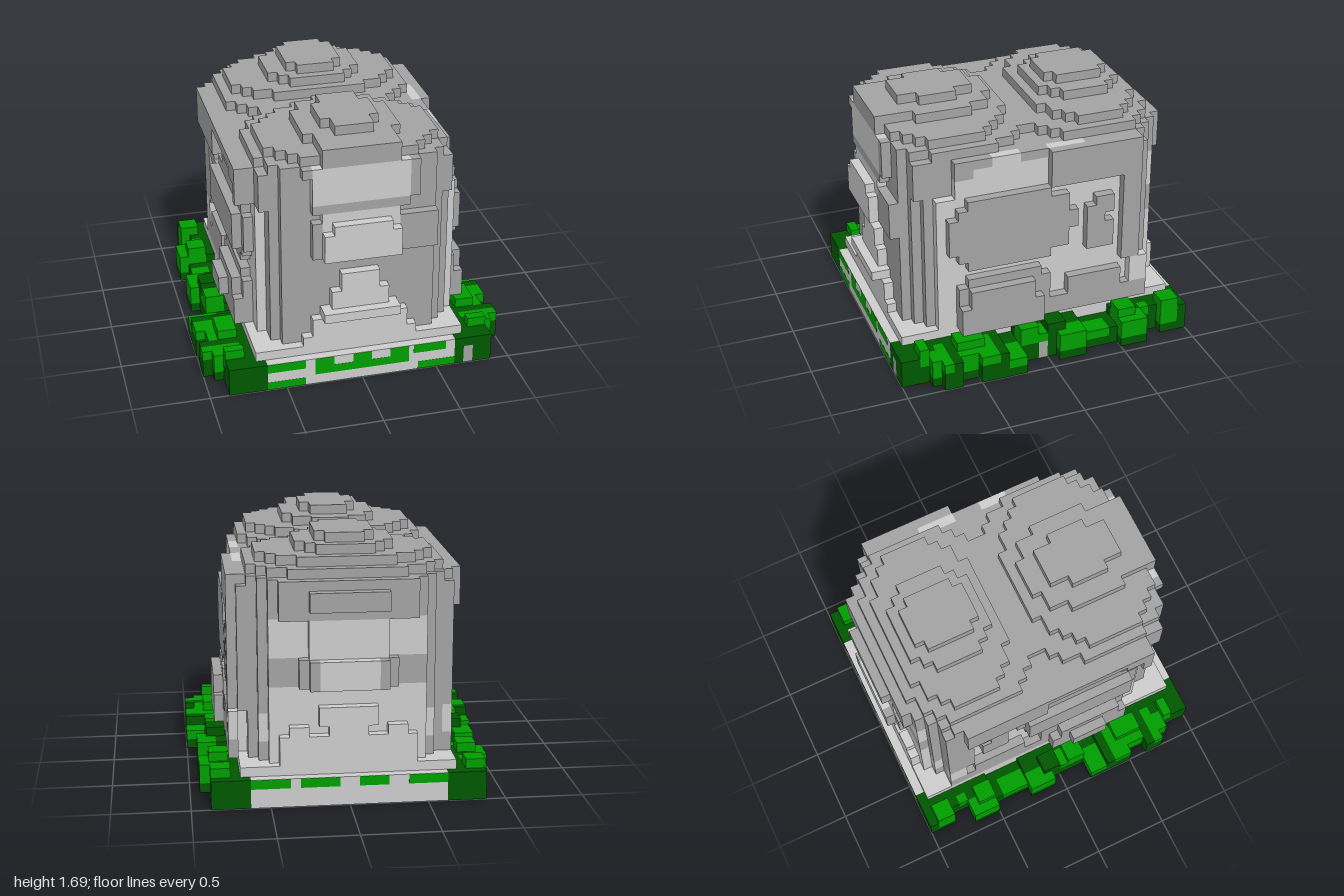
import * as THREE from 'three';

const U = 1 / 16; // edge of one block; all coordinates below are in blocks

export function createModel() {
  const mat = (name, color) => Object.assign(new THREE.MeshStandardMaterial({ color }), { name });
  const stone = mat('stone grey', 0xa2a2a2);
  const pale = mat('pale stone', 0xcccccc);
  const leaf = mat('leaf green', 0x009e00);
  const dark = mat('dark leaf green', 0x005700);

  const group = new THREE.Group();
  group.name = 'stoneShrine';
  const cells = new Map();
  const key = (x, y, z) => ((x + 20) * 64 + y + 2) * 64 + z + 20;

  // fill a box of blocks, optionally limited by a test on block centres
  function fill(name, m, [x0, x1], [y0, y1], [z0, z1], test = () => true) {
    for (let x = x0; x < x1; x++) for (let y = y0; y < y1; y++) for (let z = z0; z < z1; z++)
      if (test(x + 0.5, y + 0.5, z + 0.5)) cells.set(key(x, y, z), { p: [x, y, z], name, m });
  }
  const both = (name, m, [a, b], ys, zs, test) => {
    fill(name, m, [a, b], ys, zs, test);
    fill(name, m, [-b, -a], ys, zs, test);
  };
  // the wall on the +x side stands one block further out than the other
  const walls = (name, m, [a, b], ys, zs, test) => {
    fill(name, m, [a + 1, b + 1], ys, zs, test);
    fill(name, m, [-b, -a], ys, zs, test);
  };
  const oval = (a, b, ca, cb, ra, rb, n = 2.2) =>
    Math.abs((a - ca) / ra) ** n + Math.abs((b - cb) / rb) ** n <= 1;

  // plinth
  fill('plinth', pale, [-11, 11], [0, 3], [-16, 16]);
  fill('plinth', pale, [-11, 11], [3, 4], [-15, 15]);
  fill('plinthUnderside', stone, [-10, 10], [0, 1], [-14, 14]);

  // body core, narrowing in steps to the front and back
  const width = (z) => {
    if (z > 13) return 8;
    if (z > 11) return 9;
    if (z > -12) return 10;
    return z > -13 ? 9 : 8;
  };
  fill('body', stone, [-10, 10], [4, 23], [-14, 14], (x, y, z) => Math.abs(x) < width(z));
  walls('sideWall', pale, [9, 10], [4, 22], [-10, 9]);
  walls('sideWall', pale, [9, 10], [4, 19], [9, 11]);
  both('backCorner', pale, [8, 9], [6, 9], [-13, -12]);

  // roof layers and twin domes
  fill('roof', stone, [-11, 11], [23, 24], [-14, 15], (x, y, z) =>
    oval(x, z, 0, 7.5, 10, 7.5, 3) || oval(x, z, 0, -7, 10, 7, 3) || (Math.abs(x) < 7 && Math.abs(z) < 4));
  for (const [z, layers] of [
    [8, [[9, 7, 2.2], [5, 6, 2.2], [3.2, 4.2, 1.8]]],
    [-7.5, [[9, 5.8, 2.2], [5, 4.8, 2.2], [3.2, 3.8, 1.8]]],
  ]) layers.forEach(([rx, rz, n], i) =>
    fill('dome', stone, [-10, 10], [24 + i, 25 + i], [-14, 15], (x, y, cz) => oval(x, cz, 0, z, rx, rz, n)));
  fill('frontBrow', stone, [-4, 4], [24, 26], [12, 15]);

  // side eaves with an arch over the wall
  both('eave', stone, [10, 12], [19, 23], [-10, -1]);
  both('eave', stone, [10, 11], [9, 23], [-11, -10]);
  both('eave', stone, [10, 11], [22, 23], [-1, 9]);
  fill('eave', stone, [-12, -11], [22, 23], [-1, 10]);
  fill('eave', stone, [-12, -10], [21, 23], [8, 10]);
  fill('eave', stone, [-12, -10], [19, 23], [10, 11]);
  fill('eave', stone, [10, 11], [21, 22], [7, 9]);
  fill('eavePatch', pale, [10, 11], [22, 23], [2, 5]);
  fill('eavePatch', pale, [10, 11], [22, 23], [-5, -1]);
  walls('rearPillar', stone, [10, 11], [9, 23], [-11, -9]);
  both('rearPillar', stone, [10, 11], [9, 22], [-12, -11]);

  // raised panels on the side walls
  walls('sidePanel', stone, [10, 11], [11, 19], [-5, 11], (x, y, z) => oval(y, z, 15, 3.3, 4.1, 7, 2.4));
  fill('sidePanel', stone, [-12, -11], [13, 17], [-3, 9]);
  walls('lowerPanel', stone, [10, 11], [4, 9], [-1, 9]);
  walls('lowerPanel', stone, [11, 12], [4, 9], [0, 9], (x, y, z) => y < 7 || (z > 1 && z < 8));
  walls('lowerPanel', stone, [10, 11], [9, 10], [0, 8]);
  fill('lowerPanel', stone, [-13, -12], [6, 8], [2, 6]);
  walls('lowerRearPanel', stone, [10, 11], [4, 6], [-12, -1]);
  walls('lowerRearPanel', stone, [10, 11], [6, 8], [-9, -3]);
  walls('sideHook', stone, [10, 11], [11, 17], [-8, -5],
    (x, y, z) => (z < -7 ? y < 14 || y > 15 : z < -6 || y < 16));
  walls('rearWallFoot', pale, [10, 11], [6, 9], [-12, -10]);

  // front corner pillars
  fill('cornerPillar', stone, [9, 10], [4, 23], [11, 12]);
  both('cornerPillar', stone, [9, 10], [19, 23], [11, 13]);

  // front niche and the stepped mound below it
  fill('frontUpperPanel', pale, [-5, 5], [20, 24], [13, 15]);
  fill('frontLintel', stone, [-5, 5], [19, 20], [13, 15]);
  both('frontJamb', stone, [4, 5], [14, 18], [14, 15]);
  fill('frontJamb', stone, [5, 8], [14, 18], [14, 15]);
  fill('frontJamb', stone, [5, 6], [20, 24], [14, 15]);
  fill('frontNichePanel', pale, [-4, 4], [14, 19], [13, 15]);
  fill('frontNichePanel', pale, [-4, 4], [14, 18], [15, 16], (x, y) => y < 17 || Math.abs(x) < 3);
  for (const [w, y0, y1, d] of [[6, 4, 5, 15], [5, 5, 7, 15], [4, 7, 8, 16], [3, 8, 10, 15], [2, 10, 12, 15]])
    fill('frontMound', pale, [-w, w], [y0, y1], [13, d]);

  // back: brow, recessed panel, shelf and toothed lower wall
  fill('backPanel', pale, [-8, 8], [4, 19], [-14, -13]);
  both('backPanelSide', stone, [5, 8], [12, 15], [-14, -13]);
  fill('backBrow', stone, [-7, 7], [19, 23], [-15, -14]);
  fill('backBrow', stone, [-4, 4], [20, 22], [-16, -15]);
  fill('backNiche', pale, [-4, 4], [15, 19], [-15, -14]);
  fill('backShelf', stone, [-5, 5], [12, 15], [-15, -14]);
  fill('backShelf', pale, [-3, 3], [12, 15], [-16, -14]);
  both('backShelf', stone, [3, 4], [12, 15], [-16, -15]);
  fill('backLowerWall', pale, [-7, 7], [4, 7], [-15, -14]);
  fill('backLowerWall', pale, [-7, 7], [7, 8], [-15, -14], (x) => Math.floor(Math.abs(x) / 2) % 2 === 0);
  fill('backLowerWall', pale, [-3, 3], [8, 10], [-15, -14]);

  // moss painted on the plinth faces: [x0, x1, y0, y1]
  const moss = (list, z) => list.forEach(([x0, x1, y0, y1]) => {
    const plate = new THREE.Mesh(new THREE.BoxGeometry((x1 - x0) * U, (y1 - y0) * U, 0.006), leaf);
    plate.position.set((x0 + x1) / 2 * U, (y0 + y1) / 2 * U, z);
    plate.name = 'moss';
    group.add(plate);
  });
  moss([[-10, -6, 2, 2.98], [5.5, 9, 2, 2.98], [-10, -6, 0.02, 0.9], [6, 10, 0.02, 0.9], [-5, 5, 1.1, 2],
    [-5, -3, 2, 2.98], [-1, 1, 2, 2.98], [3, 5, 2, 2.98]], 0.998);
  moss([[-10, -6, 2, 2.98], [-4, -1, 2, 2.98], [1, 5, 2, 2.98], [6, 10, 2, 2.98]], -0.998);

  // hedge along both sides, wider in clumps: [z start, z end, outer x, top]
  const clumps = [
    [-16, -13, 14, 3], [-13, -11, 13, 3], [-11, -8, 15, 3], [-8, -4, 14, 2], [-4, -1, 15, 3],
    [-1, 3, 14, 3], [3, 5, 16, 2], [5, 8, 16, 3], [8, 10, 15, 3], [10, 12, 16, 3], [12, 13, 15, 3], [13, 16, 14, 3],
  ];
  clumps.forEach(([z0, z1, x1, top], i) => {
    both('hedge', dark, [11, x1], [0, top], [z0, z1]);
    if (i % 2 === 0) both('hedgeTuft', leaf, [13, x1], [1, top], [z0 + (i === 0 ? 1 : 0), z1]);
    else both('hedgeTuft', leaf, [12, x1], [top - 1, top], [z0 + 1, z1 - (i === 11 ? 2 : 0)]);
  });
  both('hedge', dark, [10, 11], [0, 3], [14, 16]);
  both('hedge', dark, [10, 11], [0, 3], [-16, -14]);
  for (const [m, z0, z1] of [[leaf, 13, 14], [leaf, 7, 10], [leaf, 1, 3], [dark, -2, 0], [leaf, -10, -8], [leaf, -15, -13]])
    both('hedgeTop', m, [12, 14], [2, 4], [z0, z1]);
  fill('hedgeStone', stone, [11, 12], [0, 2], [15, 16]);
  fill('hedgeStone', stone, [13, 14], [0, 2], [0, 1]);

  // turn blocks into one mesh per part and colour, keeping only exposed faces
  const parts = new Map();
  for (const { p, name, m } of cells.values()) {
    const id = name + m.name;
    if (!parts.has(id)) parts.set(id, { name, m, pos: [], nor: [] });
    const { pos, nor } = parts.get(id);
    for (let d = 0; d < 3; d++) for (const s of [1, -1]) {
      const q = [...p];
      q[d] += s;
      if (cells.has(key(...q))) continue;
      const n = [0, 0, 0];
      n[d] = s;
      const corners = [[0, 0], [1, 0], [1, 1], [0, 1]].map(([a, b]) => {
        const c = [...p];
        c[d] += s > 0 ? 1 : 0;
        c[(d + 1) % 3] += a;
        c[(d + 2) % 3] += b;
        return c.map((v) => v * U);
      });
      for (const k of s > 0 ? [0, 1, 2, 0, 2, 3] : [0, 2, 1, 0, 3, 2]) {
        pos.push(...corners[k]);
        nor.push(...n);
      }
    }
  }
  for (const { name, m, pos, nor } of parts.values()) {
    if (!pos.length) continue;
    const geo = new THREE.BufferGeometry();
    geo.setAttribute('position', new THREE.Float32BufferAttribute(pos, 3));
    geo.setAttribute('normal', new THREE.Float32BufferAttribute(nor, 3));
    const mesh = new THREE.Mesh(geo, m);
    mesh.name = name;
    group.add(mesh);
  }
  return group;
}
